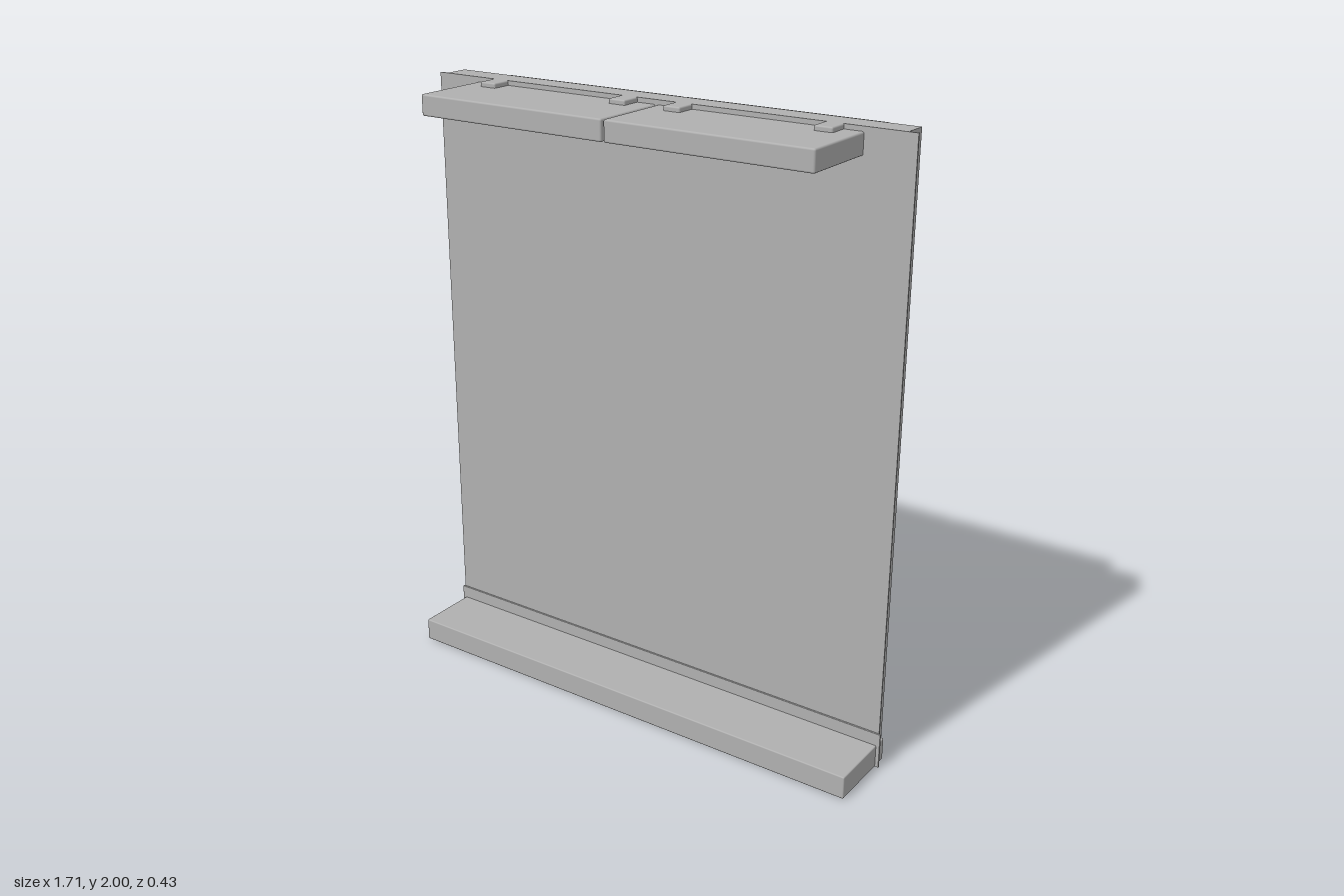
import * as THREE from 'three';
import { RoundedBoxGeometry } from 'three/addons/geometries/RoundedBoxGeometry.js';

export function createModel() {
  const group = new THREE.Group();
  const grey = new THREE.MeshStandardMaterial({ color: 0xb0b0b0 });
  grey.name = 'plain grey';

  // Box given by its limits on each axis; a radius softens its edges
  function block(name, [x0, x1], [y0, y1], [z0, z1], radius = 0) {
    const size = [x1 - x0, y1 - y0, z1 - z0];
    const geometry = radius
      ? new RoundedBoxGeometry(...size, 2, radius)
      : new THREE.BoxGeometry(...size);
    const mesh = new THREE.Mesh(geometry, grey);
    mesh.name = name;
    mesh.position.set((x0 + x1) / 2, (y0 + y1) / 2, (z0 + z1) / 2);
    group.add(mesh);
  }

  // Upright panel: wide front sheet on a slightly narrower body
  block('frontSheet', [-0.85, 0.85], [0, 2], [-0.06, -0.055]);
  block('panelBody', [-0.82, 0.82], [0, 2], [-0.137, -0.06]);

  // Bottom ledge with its thin upstand
  block('ledge', [-0.845, 0.845], [0.003, 0.08], [-0.102, 0.16], 0.004);
  block('ledgeUpstand', [-0.857, 0.857], [0.003, 0.123], [-0.056, -0.049], 0.002);

  // Pair of top boards, each with two small clips
  for (const [side, s] of [['right', -1], ['left', 1]]) {
    const span = (a, b) => (s > 0 ? [a, b] : [-b, -a]);
    block(side + 'TopBoard', span(0.004, 0.688), [1.918, 1.985], [-0.216, 0.215], 0.006);
    block(side + 'InnerClip', span(0.068, 0.127), [1.975, 2], [-0.117, 0.01], 0.005);
    block(side + 'OuterClip', span(0.566, 0.626), [1.975, 2], [-0.117, 0.01], 0.005);
  }

  return group;
}
